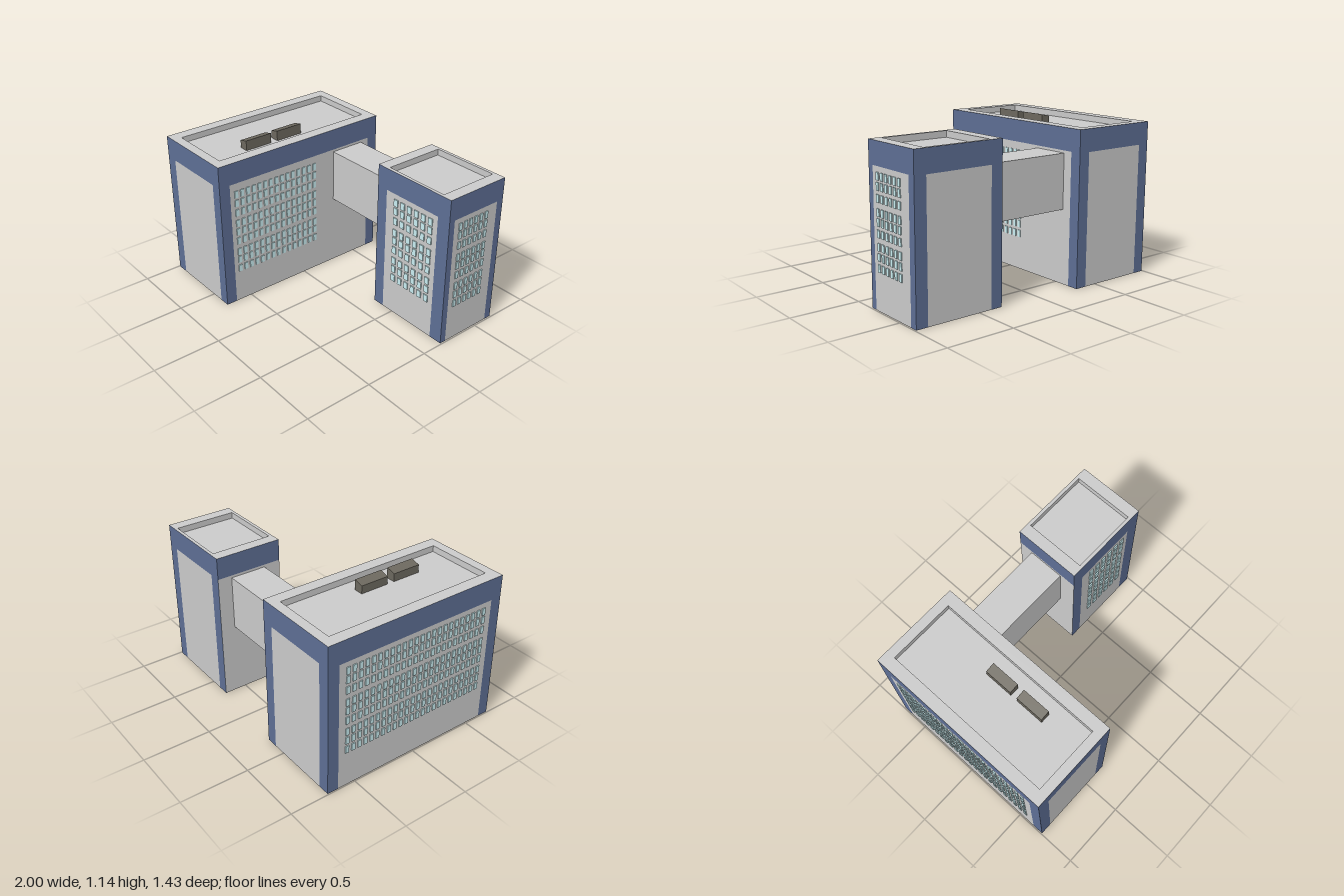
import * as THREE from 'three';

const mat = (color) => new THREE.MeshStandardMaterial({ color });
const GREY = mat(0xcccccc);
const BLUE = mat(0x5e6f95);
const GLASS = mat(0xcbf0f4);
const DARK = mat(0x6d695f);

const H = 1.115;        // tower height
const PANEL_TOP = 0.955;
const FLOOR = 1.07;     // sunken roof level

function add(parent, name, geometry, material, x = 0, y = 0, z = 0) {
  const mesh = new THREE.Mesh(geometry, material);
  mesh.name = name;
  mesh.position.set(x, y, z);
  parent.add(mesh);
  return mesh;
}

function polygon(points) {
  return new THREE.Shape(points.map(([x, y]) => new THREE.Vector2(x, y)));
}

// One wall facing local +z: blue arch-shaped frame, flush grey panel, window grid
function makeFacade(name, width, { left, right, windows }) {
  const g = new THREE.Group();
  g.name = name;
  const w = width / 2, a = -w + left, b = w - right;
  const frame = left > 0
    ? polygon([[-w, 0], [a, 0], [a, PANEL_TOP], [b, PANEL_TOP], [b, 0], [w, 0], [w, H], [-w, H]])
    : polygon([[-w, PANEL_TOP], [w, PANEL_TOP], [w, H], [-w, H]]);
  add(g, 'wallFrame', new THREE.ShapeGeometry(frame), BLUE);
  add(g, 'wallPanel', new THREE.PlaneGeometry(b - a, PANEL_TOP), GREY, (a + b) / 2, PANEL_TOP / 2, 0);
  if (windows) {
    const { start, pitch, count, size, rows } = windows;
    const pane = new THREE.BoxGeometry(size, 0.052, 0.014);
    for (const y of rows)
      for (let i = 0; i < count; i++) add(g, 'window', pane, GLASS, start + i * pitch, y, 0);
  }
  return g;
}

// Tower with four walls, a parapet around a sunken roof, and a base
function makeTower(name, x0, x1, z0, z1, recess, walls) {
  const g = new THREE.Group();
  g.name = name;
  const w = x1 - x0, d = z1 - z0, [rx, rz] = recess;
  g.position.set((x0 + x1) / 2, 0, (z0 + z1) / 2);

  const sides = [['front', 0, w, d], ['left', Math.PI / 2, d, w], ['back', Math.PI, w, d], ['right', -Math.PI / 2, d, w]];
  for (const [side, angle, width, depth] of sides) {
    const wall = makeFacade(side + 'Wall', width, walls[side]);
    wall.rotation.y = angle;
    wall.position.set(Math.sin(angle) * depth / 2, 0, Math.cos(angle) * depth / 2);
    g.add(wall);
  }

  // Parapet top, with the inner walls of the recess
  const rect = (hx, hz) => [[-hx, -hz], [hx, -hz], [hx, hz], [-hx, hz]];
  const rim = polygon(rect(w / 2, d / 2));
  rim.holes.push(polygon(rect(w / 2 - rx, d / 2 - rz)));
  const rimGeo = new THREE.ShapeGeometry(rim).rotateX(-Math.PI / 2);
  add(g, 'parapetTop', rimGeo, GREY, 0, H, 0);
  const iw = w - 2 * rx, id = d - 2 * rz, ih = H - FLOOR;
  for (const [, angle, width, depth] of [['', 0, iw, id], ['', Math.PI / 2, id, iw], ['', Math.PI, iw, id], ['', -Math.PI / 2, id, iw]]) {
    const inner = add(g, 'parapetInside', new THREE.PlaneGeometry(width, ih), GREY,
      -Math.sin(angle) * depth / 2, FLOOR + ih / 2, -Math.cos(angle) * depth / 2);
    inner.rotation.y = angle;
  }
  add(g, 'roof', new THREE.PlaneGeometry(iw, id).rotateX(-Math.PI / 2), GREY, 0, FLOOR, 0);
  add(g, 'base', new THREE.PlaneGeometry(w, d).rotateX(Math.PI / 2), GREY);
  return g;
}

export function createModel() {
  const model = new THREE.Group();
  model.name = 'towersWithBridge';

  // Three storeys groups of three window rows
  const rowsHigh = [0.892, 0.827, 0.75, 0.659, 0.595, 0.521, 0.434, 0.366, 0.293];
  const rowsLow = [0.872, 0.803, 0.727, 0.643, 0.574, 0.5, 0.41, 0.345, 0.271];
  const narrow = { pitch: 0.049, size: 0.027 };
  const edge = (m) => ({ left: m, right: m });

  model.add(makeTower('largeTower', -0.993, -0.32, -0.713, 0.713, [0.088, 0.07], {
    front: { left: 0.09, right: 0.082 },
    back: edge(0.086),
    left: { ...edge(0.083), windows: { ...narrow, start: -0.582, count: 15, rows: rowsLow } },
    right: { ...edge(0.083), windows: { ...narrow, start: -0.564, count: 24, rows: rowsHigh } },
  }));

  model.add(makeTower('smallTower', 0.317, 0.99, -0.668, -0.163, [0.086, 0.024], {
    front: { left: 0.088, right: 0.103, windows: { start: -0.152, pitch: 0.065, count: 6, size: 0.037, rows: rowsHigh } },
    back: edge(0.088),
    left: { left: 0.047, right: 0.056, windows: { ...narrow, start: -0.149, count: 6, rows: rowsHigh } },
    right: edge(0),
  }));

  // Enclosed bridge between the towers
  add(model, 'bridge', new THREE.BoxGeometry(0.637, 0.397, 0.27), GREY, -0.0015, 0.7385, -0.425);

  // Roof units with sloping tops
  const profile = polygon([[-0.575, FLOOR], [-0.505, FLOOR], [-0.505, 1.145], [-0.575, 1.128]]);
  for (const z of [-0.13, 0.14])
    add(model, 'roofUnit', new THREE.ExtrudeGeometry(profile, { depth: 0.215, bevelEnabled: false }), DARK, 0, 0, z);

  return model;
}
